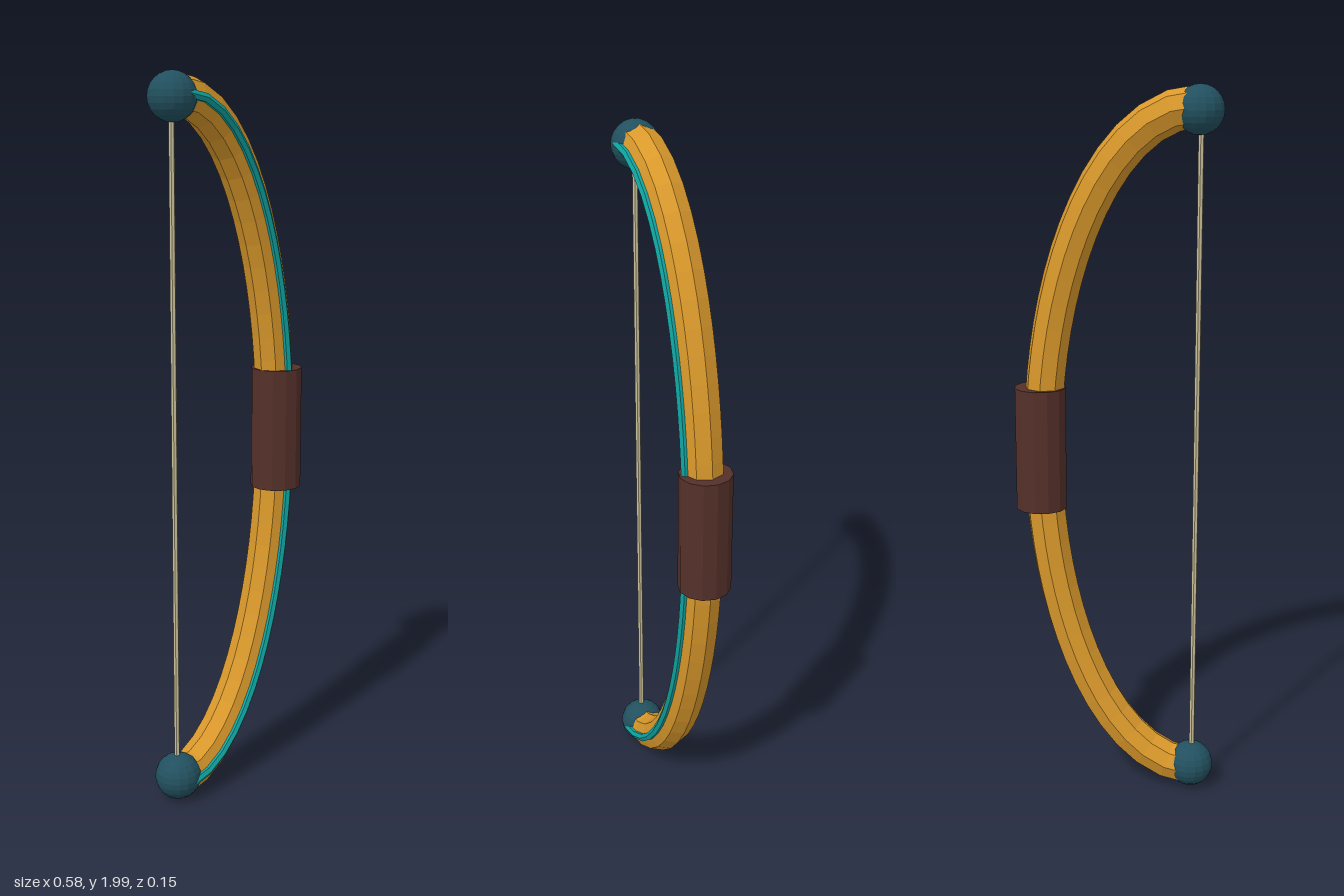
import * as THREE from 'three';

const TIP_X = -0.225, MID_Y = 1.004, REACH = 0.433, HALF_HEIGHT = 0.94;

// Half ellipse from the lower tip, round the belly, to the upper tip
class LimbCurve extends THREE.Curve {
  constructor(z) {
    super();
    this.z = z;
  }
  getPoint(t, target = new THREE.Vector3()) {
    const a = (t - 0.5) * Math.PI;
    return target.set(TIP_X + REACH * Math.cos(a), MID_Y + HALF_HEIGHT * Math.sin(a), this.z);
  }
}

export function createModel() {
  const group = new THREE.Group();

  const add = (name, geometry, color, x = 0, y = 0, z = 0) => {
    const material = new THREE.MeshStandardMaterial({ color, flatShading: true });
    const mesh = new THREE.Mesh(geometry, material);
    mesh.name = name;
    mesh.position.set(x, y, z);
    group.add(mesh);
  };

  // Bent wooden body and the inlay along its front
  add('bowBody', new THREE.TubeGeometry(new LimbCurve(0), 32, 0.055, 8), 0xd9982b);
  add('frontInlay', new THREE.TubeGeometry(new LimbCurve(0.052), 32, 0.013, 6), 0x0fa3a0);

  // Wrapped handle
  add('grip', new THREE.CylinderGeometry(0.073, 0.073, 0.35, 12), 0x55302a, 0.214, MID_Y);

  // Round tips joined by the string
  for (const [name, side] of [['upperTip', 1], ['lowerTip', -1]]) {
    add(name, new THREE.SphereGeometry(0.065, 16, 12), 0x22505f, TIP_X, MID_Y + side * 0.932);
  }
  add('bowString', new THREE.CylinderGeometry(0.008, 0.008, 1.86, 6), 0xc9bf98, TIP_X - 0.004, MID_Y);

  return group;
}
